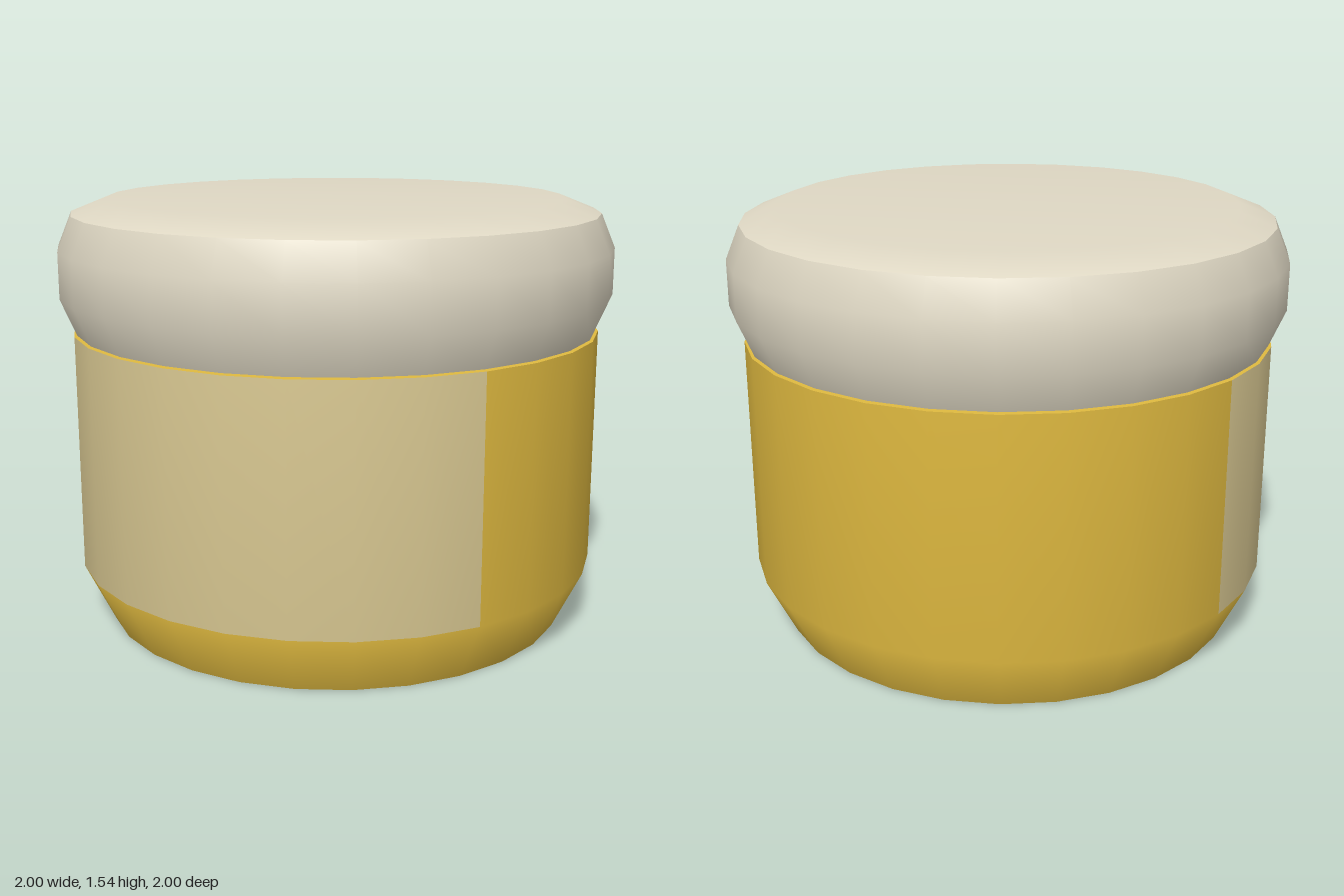
import * as THREE from 'three';

const SIDES = 28;
const STEP = (Math.PI * 2) / SIDES;
const LABEL_HALF = 6; // label reaches this many sides either way from the front

// Revolved section; separate sections keep a sharp edge between them
function turned(name, points, material) {
  const profile = points.map(([r, y]) => new THREE.Vector2(r, y));
  const geometry = new THREE.LatheGeometry(profile, SIDES, -LABEL_HALF * STEP);
  const mesh = new THREE.Mesh(geometry, material);
  mesh.name = name;
  return mesh;
}

export function createModel() {
  const gold = new THREE.MeshStandardMaterial({ color: 0xe0ba40 });
  gold.name = 'gold';
  const tan = new THREE.MeshStandardMaterial({ color: 0xdccb94 });
  tan.name = 'label tan';
  const cream = new THREE.MeshStandardMaterial({ color: 0xdfd8c4 });
  cream.name = 'lid cream';

  const model = new THREE.Group();
  model.name = 'jar';

  // Jar wall with tapered foot; the front faces of the straight wall are the label
  const wall = turned('jarWall', [[0.85, 0], [0.955, 0.215], [0.955, 1.065]], [gold, tan]);
  for (let i = 0; i < SIDES; i++) {
    wall.geometry.addGroup(i * 12, 6, 0);
    wall.geometry.addGroup(i * 12 + 6, 6, i < LABEL_HALF * 2 ? 1 : 0);
  }
  const jar = new THREE.Group();
  jar.name = 'jarBody';
  jar.add(
    wall,
    turned('jarBase', [[0, 0], [0.85, 0]], gold),
    turned('jarRim', [[0.955, 1.065], [0, 1.065]], gold)
  );

  // Rounded lid with a gently bevelled top
  const lid = new THREE.Group();
  lid.name = 'lid';
  lid.add(
    turned('lidUnderside', [[0, 1.07], [0.945, 1.07]], cream),
    turned('lidSide', [[0.945, 1.07], [1, 1.2], [1, 1.365], [0.95, 1.485]], cream),
    turned('lidTop', [[0.95, 1.485], [0.82, 1.537], [0, 1.537]], cream)
  );

  model.add(jar, lid);
  return model;
}
